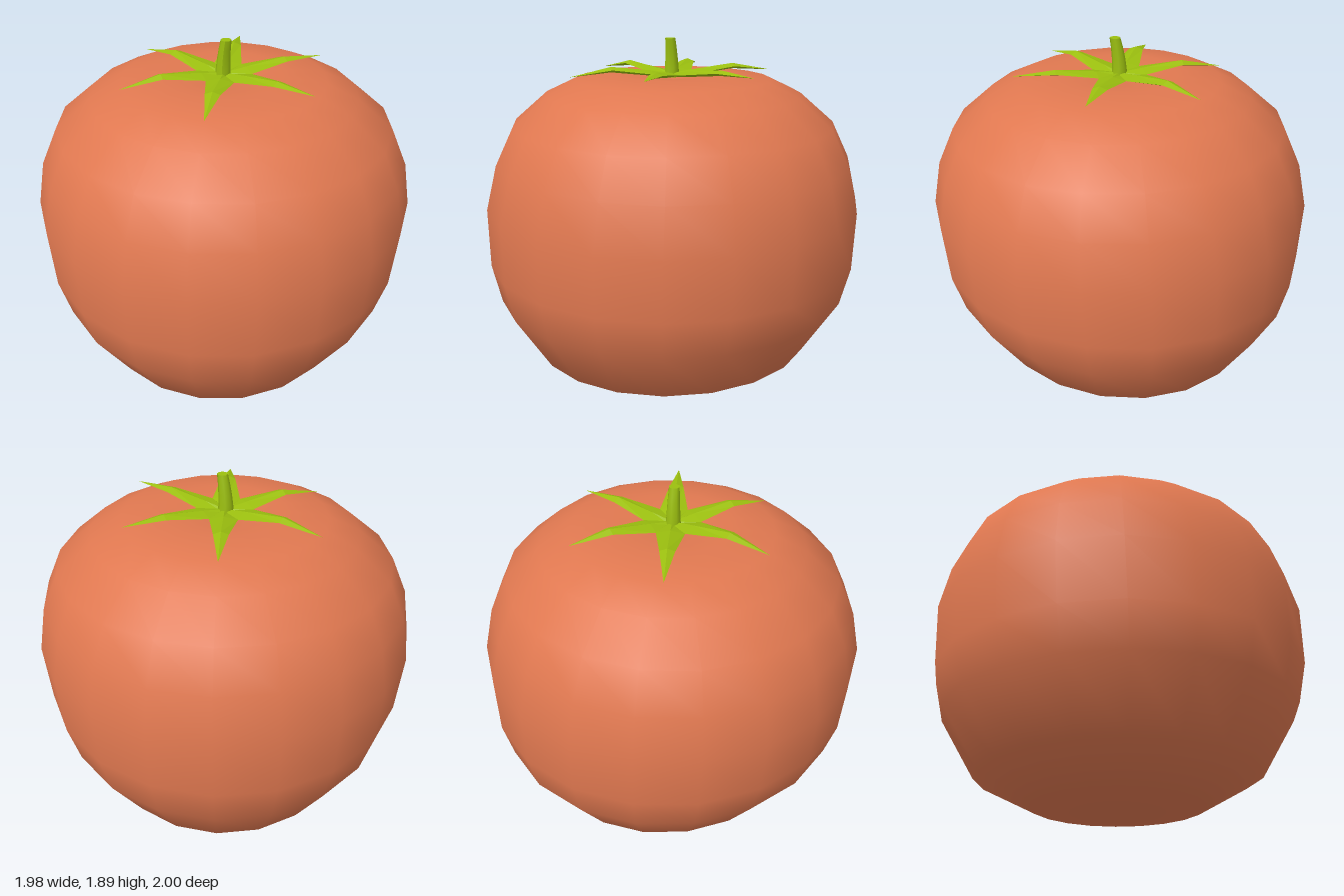
import * as THREE from 'three';

const RED = 0xe07850, GREEN = 0x9bbf0f;

function part(name, geometry, color, flatShading = false) {
  const mesh = new THREE.Mesh(geometry, new THREE.MeshStandardMaterial({ color, flatShading }));
  mesh.name = name;
  return mesh;
}

// Round fruit: a 20-sided lathe, slightly narrower across x towards the bottom
function makeFruit() {
  const profile = [
    [0, 0], [0.45, 0.055], [0.77, 0.21], [0.955, 0.52], [1, 0.73], [1, 1.04], [0.94, 1.27],
    [0.845, 1.46], [0.67, 1.61], [0.51, 1.685], [0.3, 1.71], [0.13, 1.69], [0, 1.675],
  ].map(([r, y]) => new THREE.Vector2(r, y));
  const geometry = new THREE.LatheGeometry(profile, 20);
  const p = geometry.attributes.position;
  for (let i = 0; i < p.count; i++) {
    const y = p.getY(i);
    if (y > 0.1) p.setX(i, p.getX(i) * Math.min(1.02, 0.9 + 0.085 * y));
  }
  return part('fruit', geometry, RED);
}

// Pointed leaf along +z: diamond cross-sections given as [z, half width, y, half thickness]
function makeLeaf(tipY) {
  const sections = [
    [0, 0.02, 1.7, 0.012], [0.12, 0.071, 1.713, 0.014],
    [0.33, 0.037, 1.737, 0.014], [0.545, 0, tipY, 0],
  ];
  const position = [], index = [];
  for (const [z, w, y, t] of sections) {
    position.push(w, y, z, 0, y + t, z, -w, y, z, 0, y - t, z);
  }
  for (let s = 0; s < sections.length - 1; s++) {
    for (let k = 0; k < 4; k++) {
      const a = s * 4 + k, b = s * 4 + (k + 1) % 4;
      index.push(a, b, b + 4, a, b + 4, a + 4);
    }
  }
  const geometry = new THREE.BufferGeometry();
  geometry.setAttribute('position', new THREE.Float32BufferAttribute(position, 3));
  geometry.setIndex(index);
  geometry.computeVertexNormals();
  const leaf = part('leaf', geometry, GREEN, true);
  leaf.material.side = THREE.DoubleSide;
  return leaf;
}

// Short stalk, bent a little towards +x and +z at the top
function makeStem() {
  const geometry = new THREE.CylinderGeometry(0.027, 0.04, 0.2, 8, 4);
  const p = geometry.attributes.position;
  for (let i = 0; i < p.count; i++) {
    const t = p.getY(i) / 0.2 + 0.5;
    p.setX(i, p.getX(i) - 0.005 + 0.018 * t * t);
    p.setZ(i, p.getZ(i) + 0.004 + 0.014 * t * t);
  }
  geometry.translate(0, 1.79, 0);
  geometry.computeVertexNormals();
  return part('stem', geometry, GREEN);
}

export function createModel() {
  const model = new THREE.Group();
  model.name = 'tomato';
  const calyx = new THREE.Group();
  calyx.name = 'calyx';
  // Six leaves with slightly different droops
  [1.705, 1.735, 1.73, 1.71, 1.705, 1.7].forEach((tipY, i) => {
    const leaf = makeLeaf(tipY);
    leaf.rotation.y = i * Math.PI / 3;
    calyx.add(leaf);
  });
  model.add(makeFruit(), calyx, makeStem());
  return model;
}
